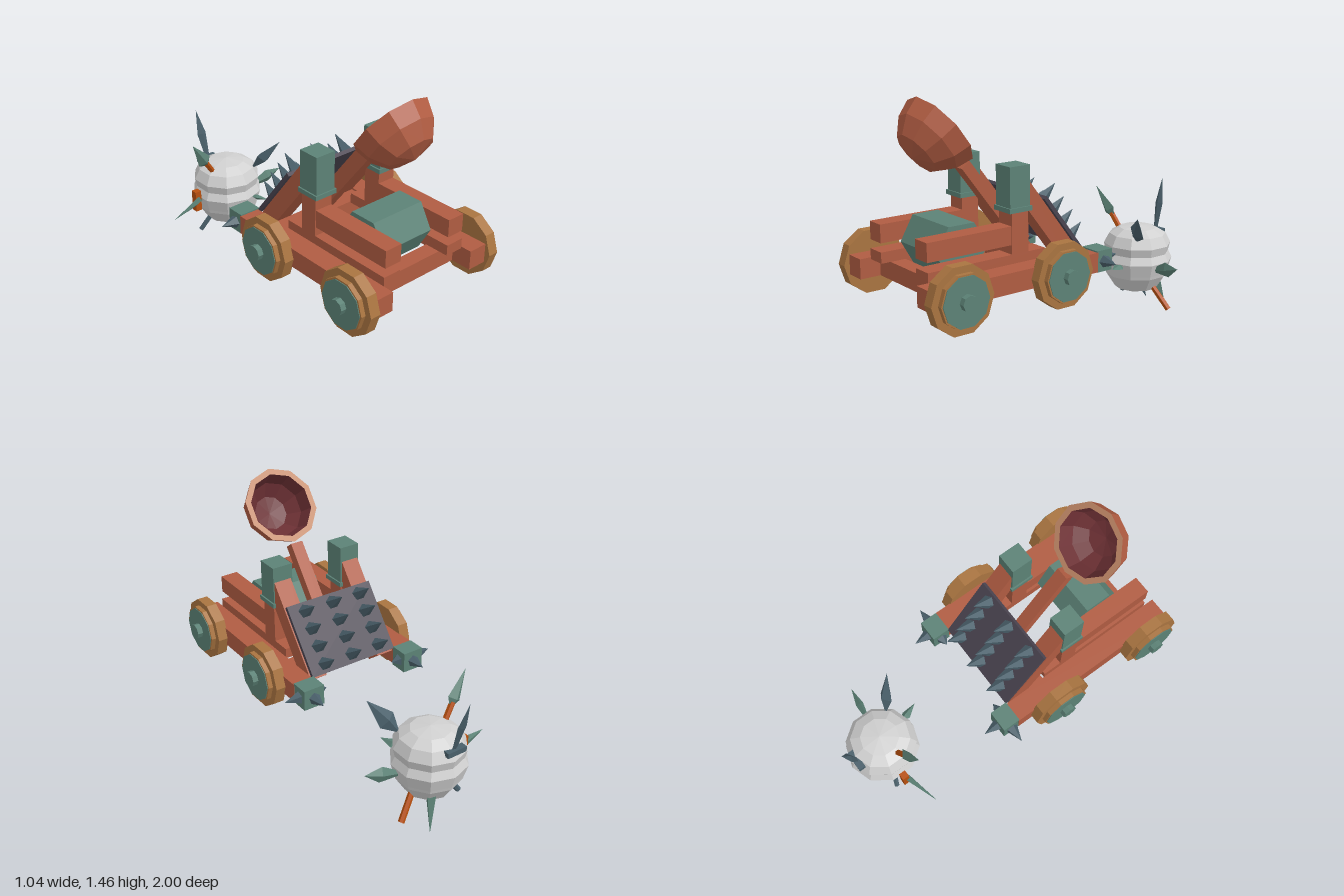
import * as THREE from 'three';

const paint = (name, color) => {
  const m = new THREE.MeshStandardMaterial({ color });
  m.name = name;
  return m;
};

export function createModel() {
  const wood = paint('red wood', 0xb05c42);
  const teal = paint('teal metal', 0x5c8276);
  const brown = paint('wheel brown', 0xa97440);
  const slate = paint('slate steel', 0x4a606b);
  const plate = paint('dark plate', 0x4a4450);
  const stone = paint('pale stone', 0xd0d0d0);
  const orange = paint('orange shaft', 0xb8500f);
  const inside = paint('bowl inside', 0x6c3034);
  const tan = paint('bowl rim', 0xc48a68);

  const root = new THREE.Group();
  const UP = new THREE.Vector3(0, 1, 0);
  const TILT = 0.66; // lean shared by arm, braces and spiked panel

  // faceted normals for low-poly surfaces
  const facet = (g) => {
    const f = g.index ? g.toNonIndexed() : g;
    f.computeVertexNormals();
    return f;
  };
  const add = (name, geo, mat, x, y, z, parent = root) => {
    const m = new THREE.Mesh(geo, mat);
    m.name = name;
    m.position.set(x, y, z);
    parent.add(m);
    return m;
  };
  // box given by its limits
  const box = (name, mat, x0, x1, y0, y1, z0, z1) =>
    add(name, new THREE.BoxGeometry(x1 - x0, y1 - y0, z1 - z0), mat, (x0 + x1) / 2, (y0 + y1) / 2, (z0 + z1) / 2);
  const mirrorBox = (name, mat, x0, x1, ...r) => {
    box(name, mat, x0, x1, ...r);
    box(name, mat, -x1, -x0, ...r);
  };
  // cylinder lying along x
  const disc = (name, mat, r, x0, x1, y, z, n, parent) => {
    const m = add(name, facet(new THREE.CylinderGeometry(r, r, Math.abs(x1 - x0), n)), mat, (x0 + x1) / 2, y, z, parent);
    m.rotation.z = Math.PI / 2;
    return m;
  };
  const lathe = (pts, n) => facet(new THREE.LatheGeometry(pts.map((p) => new THREE.Vector2(...p)), n));
  // pointed shape from base to tip; waist = position of the widest ring
  const spike = (name, mat, base, tip, r, { waist = 0, n = 5, flat = 1, r0 = 0 } = {}) => {
    const a = new THREE.Vector3(...base), d = new THREE.Vector3(...tip).sub(a), len = d.length();
    const pts = waist > 0 ? [[0, 0], [r0, 0], [r, len * waist], [0, len]] : [[0, 0], [r, 0], [0, len]];
    const m = add(name, lathe(pts, n), mat, ...base);
    m.quaternion.setFromUnitVectors(UP, d.normalize());
    m.scale.z = flat;
    return m;
  };
  const rod = (name, mat, a, b, r) => {
    const p = new THREE.Vector3(...a), d = new THREE.Vector3(...b).sub(p), len = d.length();
    const mid = p.addScaledVector(d, 0.5);
    const m = add(name, facet(new THREE.CylinderGeometry(r, r, len, 6)), mat, mid.x, mid.y, mid.z);
    m.quaternion.setFromUnitVectors(UP, d.normalize());
  };

  // chassis
  mirrorBox('lowerRail', wood, 0.28, 0.4, 0.48, 0.59, -0.09, 0.97);
  mirrorBox('middleRail', wood, 0.17, 0.28, 0.58, 0.64, 0.18, 0.905);
  mirrorBox('upperRail', wood, 0.17, 0.275, 0.69, 0.79, 0.3, 0.905);
  box('frontCrossbeam', wood, -0.28, 0.28, 0.48, 0.58, 0.76, 0.85);
  box('rearCrossbeam', wood, -0.28, 0.28, 0.48, 0.58, 0.07, 0.17);
  disc('windingDrum', teal, 0.156, -0.17, 0.17, 0.68, 0.63, 6);

  // posts with metal caps
  mirrorBox('post', wood, 0.17, 0.28, 0.58, 0.88, 0.29, 0.395);
  mirrorBox('postCap', teal, 0.162, 0.284, 0.87, 1.1, 0.28, 0.408);
  mirrorBox('postCapCollar', teal, 0.153, 0.293, 0.86, 0.885, 0.272, 0.416);

  // wheels
  for (const s of [-1, 1]) for (const z of [0.18, 0.82]) {
    const w = new THREE.Group();
    w.name = 'wheel';
    root.add(w);
    disc('rim', brown, 0.183, s * 0.395, s * 0.457, 0.53, z, 10, w);
    disc('rimStep', brown, 0.145, s * 0.457, s * 0.484, 0.53, z, 10, w);
    disc('wheelFace', teal, 0.136, s * 0.48, s * 0.488, 0.53, z, 10, w);
    disc('hub', teal, 0.043, s * 0.485, s * 0.52, 0.53, z, 8, w);
  }

  // leaning braces, spiked panel and rear ram blocks
  for (const s of [-1, 1]) {
    add('brace', new THREE.BoxGeometry(0.105, 0.57, 0.1), wood, s * 0.225, 0.757, 0.145).rotation.x = TILT;
    box('ramBlock', teal, s * 0.335 - 0.063, s * 0.335 + 0.063, 0.478, 0.597, -0.19, -0.085);
    const y = 0.535, z = -0.137;
    spike('ramSpike', slate, [s * 0.335, y, -0.185], [s * 0.335, y, -0.28], 0.037);
    spike('ramSpike', slate, [s * 0.395, y, z], [s * 0.49, y, z], 0.037);
    spike('ramSpike', slate, [s * 0.275, y, z], [s * 0.222, y, z], 0.037);
  }
  add('spikedPanel', new THREE.BoxGeometry(0.55, 0.41, 0.022), plate, 0, 0.745, 0.045).rotation.x = TILT;
  for (const x of [-0.18, 0, 0.18]) for (let i = 0; i < 4; i++) {
    const y = 0.865 - i * 0.081, z = 0.14 - i * 0.062;
    spike('panelSpike', slate, [x, y, z], [x, y + 0.086, z - 0.111], 0.043);
  }

  // throwing arm and bowl
  add('throwingArm', new THREE.BoxGeometry(0.075, 0.66, 0.06), wood, 0, 0.825, 0.305).rotation.x = TILT;
  const bowl = new THREE.Group();
  bowl.name = 'bowl';
  bowl.position.set(0, 1.28, 0.635);
  bowl.rotation.x = -0.927;
  root.add(bowl);
  add('bowlOuter', lathe([[0, -0.215], [0.13, -0.18], [0.195, -0.095], [0.222, 0]], 10), wood, 0, 0, 0, bowl);
  add('bowlRim', lathe([[0.222, 0], [0.188, 0]], 10), tan, 0, 0, 0, bowl);
  add('bowlInner', lathe([[0.188, 0], [0.165, -0.09], [0.1, -0.155], [0, -0.175]], 10), inside, 0, 0, 0, bowl);

  // ribbed boulder
  add('boulder', lathe([[0, -0.195], [0.13, -0.185], [0.185, -0.1], [0.19, -0.08], [0.212, -0.005],
    [0.19, 0.04], [0.202, 0.09], [0.17, 0.15], [0.11, 0.185], [0, 0.2]], 10), stone, 0, 0.355, -0.76);

  // weapons stuck in the boulder
  const blade = { waist: 0.55, n: 4, flat: 0.5, r0: 0.012 };
  const head = { waist: 0.2, n: 4, flat: 0.6, r0: 0.01 };
  spike('upperBlade', slate, [-0.015, 0.47, -0.925], [-0.04, 0.8, -1.0], 0.03, blade);
  box('bladeGuard', slate, -0.08, 0.04, 0.475, 0.505, -0.955, -0.915);
  spike('sideDagger', teal, [-0.17, 0.34, -0.77], [-0.44, 0.31, -0.69], 0.035, { ...blade, waist: 0.25, r0: 0.025 });
  box('daggerGuard', orange, -0.245, -0.205, 0.27, 0.4, -0.785, -0.745);
  spike('sideBlade', teal, [0.17, 0.31, -0.74], [0.385, 0.37, -0.715], 0.045, blade);
  spike('frontBlade', teal, [0.06, 0.34, -0.58], [0.1, 0.345, -0.467], 0.03, { ...blade, waist: 0.3 });
  rod('spearShaft', orange, [-0.08, 0.45, -0.74], [-0.19, 0.61, -0.71], 0.017);
  spike('spearHead', teal, [-0.17, 0.58, -0.715], [-0.29, 0.755, -0.68], 0.045, head);
  spike('arrowHead', slate, [0.12, 0.5, -0.64], [0.24, 0.67, -0.53], 0.055, { ...head, waist: 0.35 });
  spike('lowerSpike', teal, [0.06, 0.22, -0.86], [0.105, 0, -0.92], 0.035, { n: 4 });
  spike('shortSpike', slate, [0.0, 0.19, -0.79], [0.03, 0.09, -0.82], 0.03, { n: 4 });
  rod('lowerOrangeShaft', orange, [0.1, 0.22, -0.77], [0.22, 0.06, -0.82], 0.018);
  rod('lowerSlateShaft', slate, [-0.09, 0.22, -0.77], [-0.175, 0.09, -0.81], 0.016);

  return root;
}
